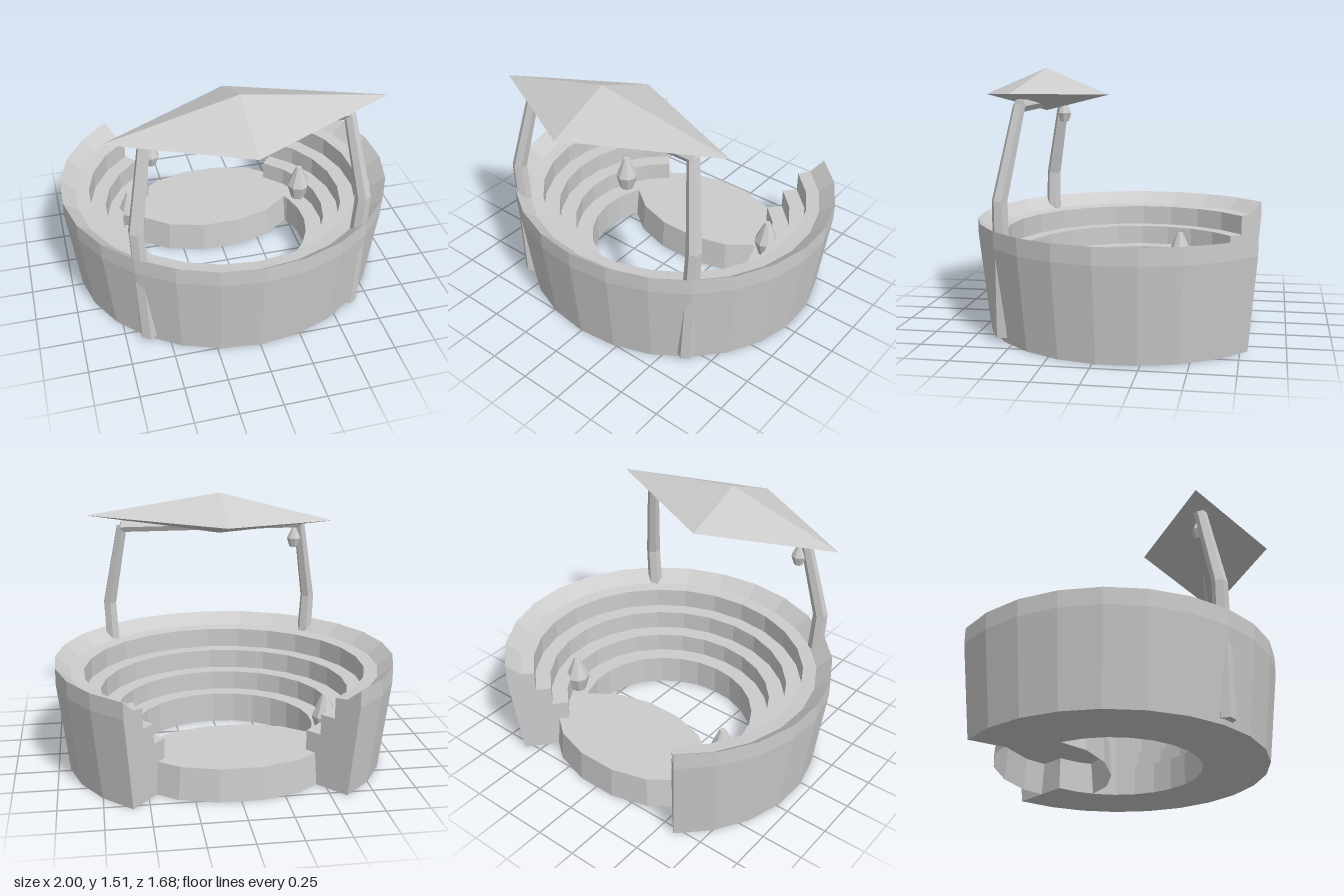
import * as THREE from 'three';

const stone = new THREE.MeshStandardMaterial({ color: 0xcccccc, flatShading: true, side: THREE.DoubleSide });
stone.name = 'pale grey stone';

function add(group, name, geometry) {
  const mesh = new THREE.Mesh(geometry, stone);
  mesh.name = name;
  group.add(mesh);
  return mesh;
}

function fromTriangles(points) {
  const geometry = new THREE.BufferGeometry().setFromPoints(points);
  geometry.computeVertexNormals();
  return geometry;
}

// Stepped seating with a raised outer lip: a profile swept round an oval arc, open at the back
function seatingGeometry() {
  const profile = [
    [0.535, 0], [0.535, 0.19], [0.64, 0.19], [0.64, 0.31], [0.74, 0.31], [0.74, 0.43],
    [0.835, 0.43], [0.835, 0.552], [0.915, 0.56], [1.004, 0.633], [1.004, 0.535], [0.94, 0],
  ].map(([r, y]) => new THREE.Vector2(r, y));
  const segments = 20;
  const half = THREE.MathUtils.degToRad(141);
  const at = (i, p) => {
    const a = -half + (2 * half * i) / segments;
    return new THREE.Vector3(p.x * Math.sin(a), p.y, -0.103 + 0.942 * p.x * Math.cos(a));
  };
  const tris = [];
  for (let i = 0; i < segments; i++) {
    profile.forEach((p, j) => {
      const q = profile[(j + 1) % profile.length];
      tris.push(at(i, p), at(i, q), at(i + 1, q), at(i, p), at(i + 1, q), at(i + 1, p));
    });
  }
  // End faces beside the opening
  for (const face of THREE.ShapeUtils.triangulateShape(profile, [])) {
    let [a, b, c] = face.map((k) => profile[k]);
    if (THREE.ShapeUtils.area([a, b, c]) < 0) [b, c] = [c, b];
    tris.push(at(0, a), at(0, b), at(0, c), at(segments, a), at(segments, c), at(segments, b));
  }
  return fromTriangles(tris);
}

// Six-sided post bent at its middle row; side is +1 or -1
function postGeometry(side) {
  const rows = [[0.565, 1.32, 0.465], [0.653, 0.8, 0.561], [0.614, 0.03, 0.562]];
  const geometry = new THREE.CylinderGeometry(0.035, 0.053, 1, 6, 2);
  const pos = geometry.attributes.position;
  for (let i = 0; i < pos.count; i++) {
    const [x, y, z] = rows[Math.round((0.5 - pos.getY(i)) * 2)];
    pos.setXYZ(i, pos.getX(i) + side * x, y, pos.getZ(i) + z);
  }
  geometry.computeVertexNormals();
  return geometry;
}

// Eight-sided spindle lantern standing on its own origin
function lanternGeometry() {
  const profile = [[0, 0], [0.045, 0], [0.075, 0.1], [0.018, 0.235], [0, 0.235]];
  return new THREE.LatheGeometry(profile.map(([r, y]) => new THREE.Vector2(r, y)), 8);
}

// Canopy: a flat, slightly tilted eight-faced diamond
function canopyGeometry() {
  const v = (x, y, z) => new THREE.Vector3(x, y, z);
  const top = v(-0.05, 1.51, 0.46);
  const bottom = v(-0.05, 1.255, 0.46);
  const rim = [v(0.787, 1.386, 0.457), v(-0.05, 1.35, 0.08), v(-0.787, 1.316, 0.457), v(-0.05, 1.35, 0.84)];
  const tris = [];
  rim.forEach((p, i) => {
    const q = rim[(i + 1) % 4];
    tris.push(top, p, q, bottom, q, p);
  });
  return fromTriangles(tris);
}

export function createModel() {
  const group = new THREE.Group();
  group.name = 'amphitheatre';
  add(group, 'steppedSeating', seatingGeometry());

  // Oval stage: tapered wall with a top and an open underside
  const stage = new THREE.Group();
  stage.name = 'stage';
  stage.position.z = -0.46;
  stage.scale.set(0.525, 1, 0.315);
  group.add(stage);
  add(stage, 'stageWall', new THREE.CylinderGeometry(1, 1.04, 0.192, 14, 1, true).rotateY(Math.PI / 14)).position.y = 0.096;
  add(stage, 'stageFloor', new THREE.CircleGeometry(1, 14).rotateX(-Math.PI / 2)).position.y = 0.192;

  // Canopy frame and roof
  for (const side of [-1, 1]) add(group, side > 0 ? 'leftPost' : 'rightPost', postGeometry(side));
  add(group, 'crossBeam', new THREE.CylinderGeometry(0.038, 0.038, 1.15, 6).rotateZ(Math.PI / 2)).position.set(0, 1.312, 0.463);
  add(group, 'canopy', canopyGeometry());

  // Lanterns: two on the lowest step, one hung from the beam
  for (const side of [-1, 1]) add(group, 'stepLantern', lanternGeometry()).position.set(side * 0.57, 0.19, -0.31);
  const hung = add(group, 'hangingLantern', lanternGeometry());
  hung.scale.set(0.6, 0.55, 0.6);
  hung.position.set(-0.533, 1.155, 0.458);
  return group;
}
